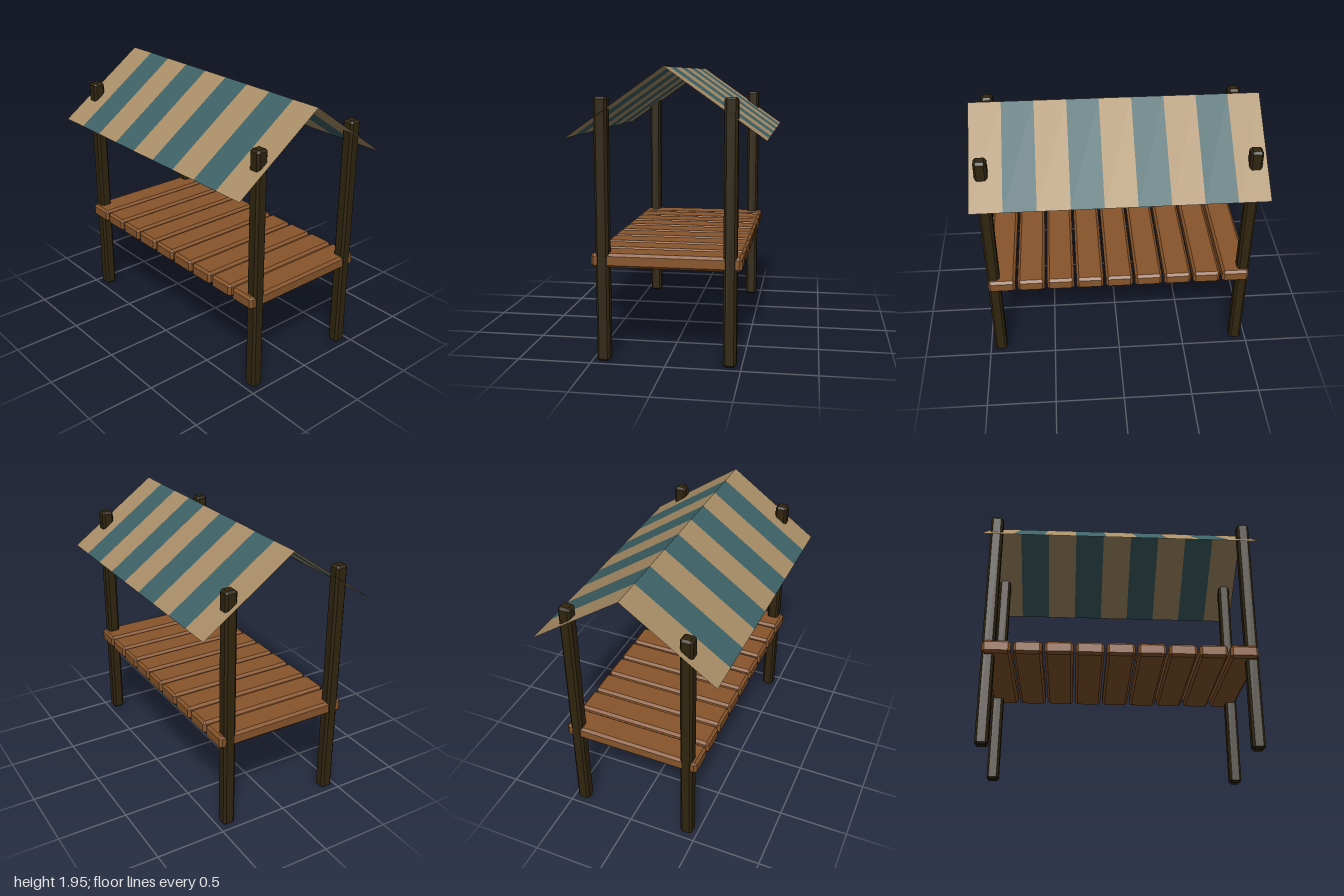
import * as THREE from 'three';
import { ConvexGeometry } from 'three/addons/geometries/ConvexGeometry.js';

const material = (name, color, side = THREE.FrontSide) =>
  new THREE.MeshStandardMaterial({ name, color, side });

// Box with flat chamfers along every edge
function chamferBox(w, h, d, c) {
  const points = [];
  for (const x of [-1, 1]) for (const y of [-1, 1]) for (const z of [-1, 1]) {
    const a = w / 2, b = h / 2, e = d / 2;
    points.push(
      new THREE.Vector3(x * a, y * (b - c), z * (e - c)),
      new THREE.Vector3(x * (a - c), y * b, z * (e - c)),
      new THREE.Vector3(x * (a - c), y * (b - c), z * e));
  }
  return new ConvexGeometry(points);
}

export function createModel() {
  const model = new THREE.Group();
  model.name = 'marketStall';
  const darkWood = material('darkWood', 0x30250f);
  const plankWood = material('plankWood', 0x88552b);
  const cream = material('creamCloth', 0xa98e67, THREE.DoubleSide);
  const teal = material('tealCloth', 0x3e6266, THREE.DoubleSide);

  const add = (name, geometry, mat, x = 0, y = 0, z = 0) => {
    const mesh = new THREE.Mesh(geometry, mat);
    mesh.name = name;
    mesh.position.set(x, y, z);
    model.add(mesh);
    return mesh;
  };

  // Four corner posts that poke through the awning
  const post = chamferBox(0.088, 1.757, 0.088, 0.016);
  for (const x of [-1, 1]) for (const z of [-1, 1])
    add(`${z > 0 ? 'front' : 'back'}${x > 0 ? 'Left' : 'Right'}Post`, post, darkWood, x * 0.917, 0.8785, z * 0.422);

  // Counter of nine planks
  const plank = chamferBox(0.198, 0.096, 0.998, 0.018);
  for (let i = 0; i < 9; i++)
    add(`counterPlank${i + 1}`, plank, plankWood, (i - 4) * 0.2145, 0.688, 0);

  // Striped gabled awning: nine strips on each slope
  const ridge = 1.947, eave = 1.49, reach = 0.65, strip = 2 / 9;
  const length = Math.hypot(reach, ridge - eave);
  const tilt = Math.atan2(reach, ridge - eave);
  for (const side of [1, -1]) {
    const cloth = new THREE.PlaneGeometry(strip, length);
    cloth.rotateX(-tilt);
    if (side < 0) cloth.rotateY(Math.PI);
    for (let i = 0; i < 9; i++)
      add(`${side > 0 ? 'front' : 'back'}AwningStripe${i + 1}`, cloth, i % 2 ? teal : cream,
        (i - 4) * strip, (ridge + eave) / 2, side * reach / 2);
  }
  return model;
}
